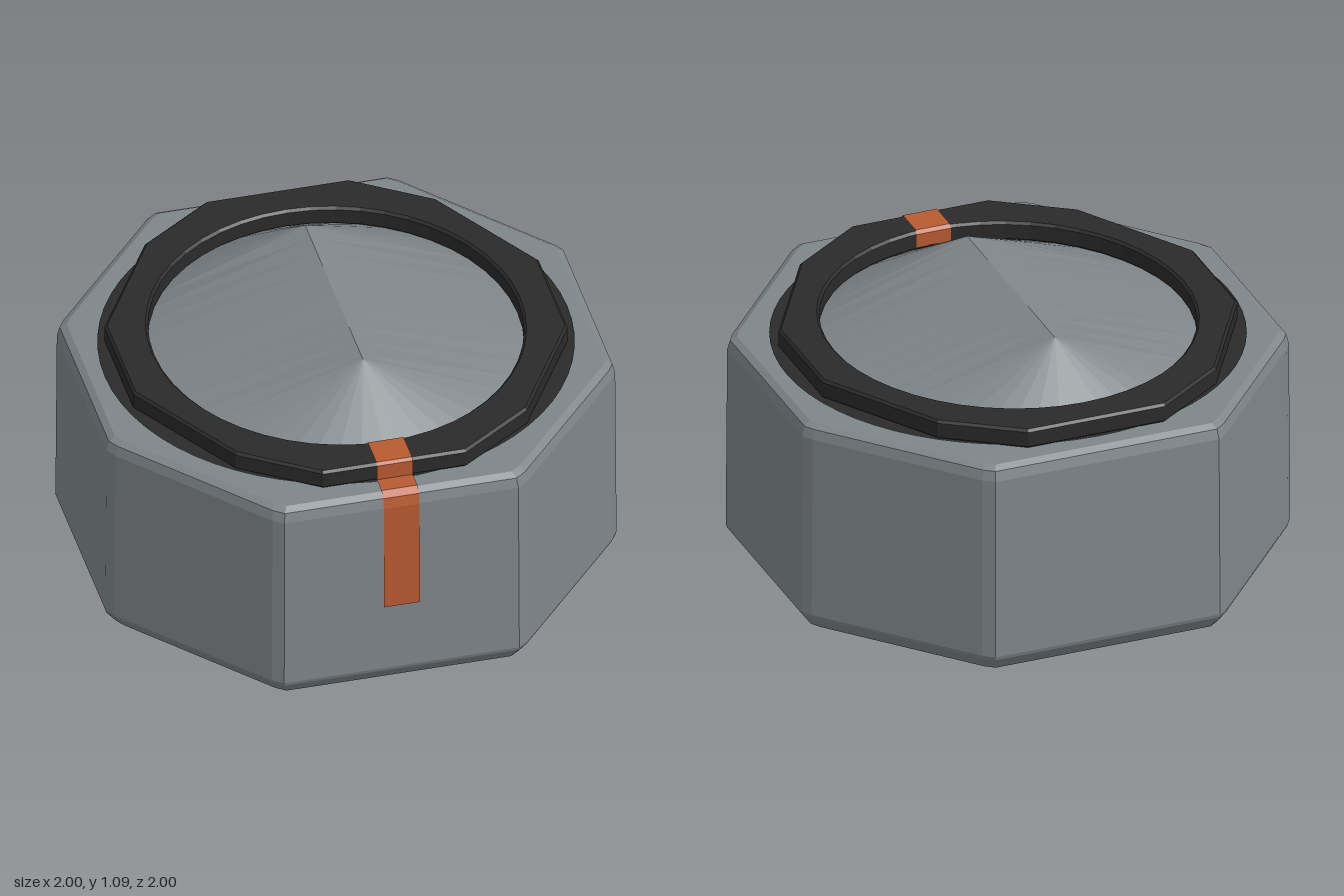
import * as THREE from 'three';

const material = (name, color, side = THREE.FrontSide) => {
  const m = new THREE.MeshStandardMaterial({ color, side });
  m.name = name;
  return m;
};

// Flat-shaded loft through loops of [x, y, z], listed from bottom to top
function loft(loops, capped) {
  const out = [];
  const tri = (...pts) => pts.forEach((p) => out.push(...p));
  const n = loops[0].length;
  for (let i = 0; i < loops.length - 1; i++) {
    for (let j = 0; j < n; j++) {
      const k = (j + 1) % n;
      tri(loops[i][j], loops[i + 1][j], loops[i][k]);
      tri(loops[i][k], loops[i + 1][j], loops[i + 1][k]);
    }
  }
  if (capped) {
    const low = loops[0], high = loops[loops.length - 1];
    for (let j = 0; j < n; j++) {
      const k = (j + 1) % n;
      tri([0, low[0][1], 0], low[j], low[k]);
      tri([0, high[0][1], 0], high[k], high[j]);
    }
  }
  const g = new THREE.BufferGeometry();
  g.setAttribute('position', new THREE.Float32BufferAttribute(out, 3));
  g.computeVertexNormals();
  return g;
}

export function createModel() {
  const group = new THREE.Group();
  const grey = material('slate grey', 0x7f868a);
  const black = material('soft black', 0x2a2a2a);
  const orange = material('burnt orange', 0xb85a30, THREE.DoubleSide);
  const add = (name, geometry, mat) => {
    const mesh = new THREE.Mesh(geometry, mat);
    mesh.name = name;
    group.add(mesh);
    return mesh;
  };

  // Octagonal body with bevelled corners, top and bottom edges
  const quarter = [[1, 0.38], [0.975, 0.42], [0.5, 0.97], [0.46, 1]];
  const half = [...quarter, ...quarter.map(([x, z]) => [-x, z]).reverse()];
  const outline = [...half, ...half.map(([x, z]) => [-x, -z])];
  const layers = [[0, 0.955], [0.055, 0.995], [0.07, 1], [0.82, 0.995], [0.86, 0.985], [0.876, 0.96]];
  add('body', loft(layers.map(([y, s]) => outline.map(([x, z]) => [x * s, y, z * s])), true), grey);

  // Hipped lid: an oval eave rising to a straight ridge along z
  const eave = [], ridge = [];
  for (let i = 0; i < 48; i++) {
    const a = (i / 48) * Math.PI * 2;
    const z = 0.765 * Math.sin(a);
    eave.push([0.725 * Math.cos(a), 0.872, z]);
    ridge.push([0, 1.09, THREE.MathUtils.clamp(z, -0.47, 0.41)]);
  }
  add('lid', loft([eave, ridge], false), grey);

  // Thin dark collar lying on the body under the ring
  const collar = add('collar', new THREE.RingGeometry(0.78, 0.905, 64), black);
  collar.rotation.x = -Math.PI / 2;
  collar.position.y = 0.88;

  // Twelve-sided ring with an oval opening
  const q = [[0.85, 0.22], [0.57, 0.69], [0.28, 0.89]];
  const h = [...q, ...q.map(([x, z]) => [-x, z]).reverse()];
  const shape = new THREE.Shape(
    [...h, ...h.map(([x, z]) => [-x, -z])].map(([x, z]) => new THREE.Vector2(x, z)));
  shape.holes.push(new THREE.Path().absellipse(0, 0, 0.71, 0.75, 0, Math.PI * 2, true));
  const ringGeometry = new THREE.ExtrudeGeometry(shape, {
    depth: 0.06, bevelThickness: 0.01, bevelSize: 0.01, bevelOffset: -0.01,
    bevelSegments: 1, curveSegments: 24,
  });
  ringGeometry.rotateX(-Math.PI / 2);
  add('ring', ringGeometry, black).position.y = 0.885;

  // Orange marker strip folded over the body front and the ring: [y, z]
  const path = [[0.36, 1.004], [0.82, 0.999], [0.862, 0.989], [0.882, 0.963],
    [0.884, 0.895], [0.948, 0.895], [0.959, 0.884], [0.959, 0.755], [0.945, 0.744], [0.89, 0.744]];
  const strip = new THREE.PlaneGeometry(0.14, 1, 1, path.length - 1);
  const pos = strip.attributes.position;
  for (let i = 0; i < pos.count; i++) {
    // rows run from the top of the plane down, so the path is read backwards
    const [y, z] = path[path.length - 1 - Math.floor(i / 2)];
    pos.setXYZ(i, pos.getX(i), y, z);
  }
  const flatStrip = strip.toNonIndexed();
  flatStrip.computeVertexNormals();
  add('markerStrip', flatStrip, orange);

  return group;
}
